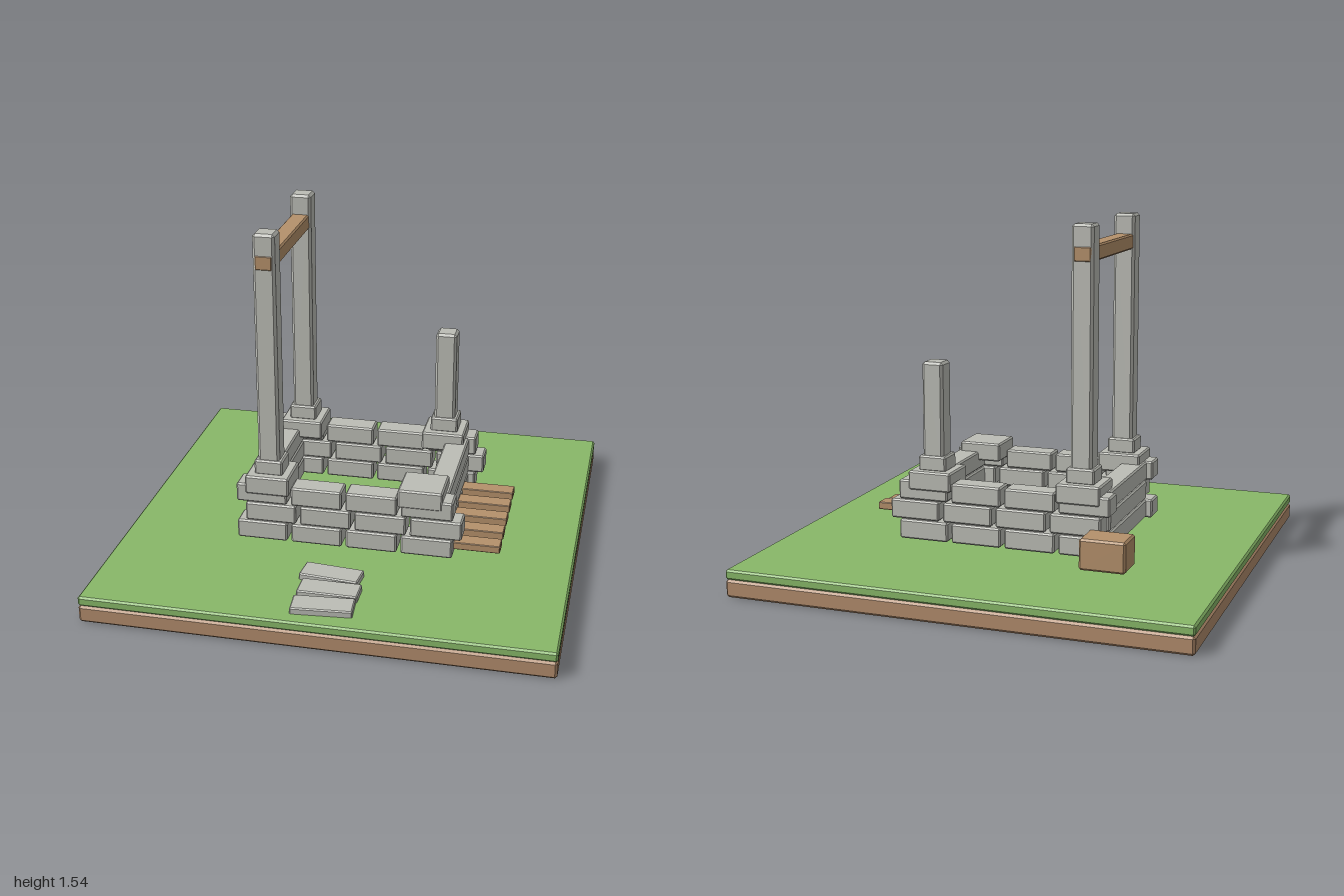
import * as THREE from 'three';
import { ConvexGeometry } from 'three/addons/geometries/ConvexGeometry.js';

const material = (name, color) => {
  const m = new THREE.MeshStandardMaterial({ color });
  m.name = name;
  return m;
};

// box with chamfered edges, centred on its origin
function chamferBox(w, h, d, c) {
  const pts = [];
  for (const x of [-1, 1]) for (const y of [-1, 1]) for (const z of [-1, 1]) {
    for (let full = 0; full < 3; full++) {
      const inset = [c, c, c];
      inset[full] = 0;
      pts.push(new THREE.Vector3(
        x * (w / 2 - inset[0]), y * (h / 2 - inset[1]), z * (d / 2 - inset[2])));
    }
  }
  return new ConvexGeometry(pts);
}

export function createModel() {
  const model = new THREE.Group();
  model.name = 'ruinedStoneHut';
  const stone = material('stone', 0xbcbdb6);
  const wood = material('wood', 0xb5916b);
  const grass = material('grass', 0x88b868);
  const earth = material('earth', 0xb28c6c);

  // adds a block given its extents on each axis
  function block(name, mat, [x0, x1], [y0, y1], [z0, z1], chamfer = 0.007) {
    const mesh = new THREE.Mesh(chamferBox(x1 - x0, y1 - y0, z1 - z0, chamfer), mat);
    mesh.name = name;
    mesh.position.set((x0 + x1) / 2, (y0 + y1) / 2, (z0 + z1) / 2);
    model.add(mesh);
    return mesh;
  }

  // ground slab
  block('earthSlab', earth, [-1, 1], [0, 0.077], [-1, 1], 0.01);
  block('grassLayer', grass, [-1, 1], [0.077, 0.12], [-1, 1], 0.008);

  // three courses: staggered bricks front and back, long blocks at the sides
  for (let row = 0; row < 3; row++) {
    const y = [0.14 + row * 0.09, 0.226 + row * 0.09];
    const shift = row === 1 ? 0.04 : 0;
    for (const z of [[0.285, 0.39], [-0.395, -0.29]]) {
      for (let i = 0; i < 4; i++) {
        const x = -0.483 + i * 0.2455 + shift;
        block('wallBrick', stone, [x, x + 0.227], y, z);
      }
    }
    block('leftWallBlock', stone, [0.345, 0.45], y, [-0.29, 0.29]);
    block('rightWallBlock', stone, [-0.455, -0.35], y, [-0.29, 0.29]);
  }

  // corner footings, with pillars on all but one
  const corners = [
    { x: -0.342, z: 0.305, top: 1.54 },
    { x: -0.342, z: -0.305, top: 1.54 },
    { x: 0.335, z: -0.305, top: 0.927 },
    { x: 0.337, z: 0.298, top: 0 },
  ];
  const around = (v, r) => [v - r, v + r];
  for (const { x, z, top } of corners) {
    block('cornerFooting', stone, around(x, 0.098), [0.365, 0.45], around(z, 0.096));
    if (!top) continue;
    block('pillarCollar', stone, around(x, 0.063), [0.445, 0.514], around(z, 0.06));
    block('pillar', stone, around(x, 0.048), [0.5, top], around(z, 0.048), 0.011);
  }

  // beam between the tall pillars
  block('crossBeam', wood, [-0.383, -0.303], [1.382, 1.45], [-0.356, 0.356]);

  // stepped planks passing through the side wall
  for (let i = 0; i < 5; i++) {
    const z = -0.147 + i * 0.112;
    const y = 0.214 - i * 0.009;
    block('floorPlank', wood, [0.285, 0.683], around(y, 0.017), around(z, 0.038), 0.003);
  }

  // crate at the back corner
  block('crate', wood, [-0.595, -0.393], [0.13, 0.265], [-0.54, -0.39], 0.009);

  // stepping stones in front
  for (const [x, z, turn] of [[0, 0.618, -0.09], [0.02, 0.745, 0], [0.022, 0.873, 0.085]]) {
    const slab = block('steppingStone', stone, around(x, 0.13), [0.115, 0.148], around(z, 0.055), 0.005);
    slab.rotation.y = turn;
  }
  return model;
}
